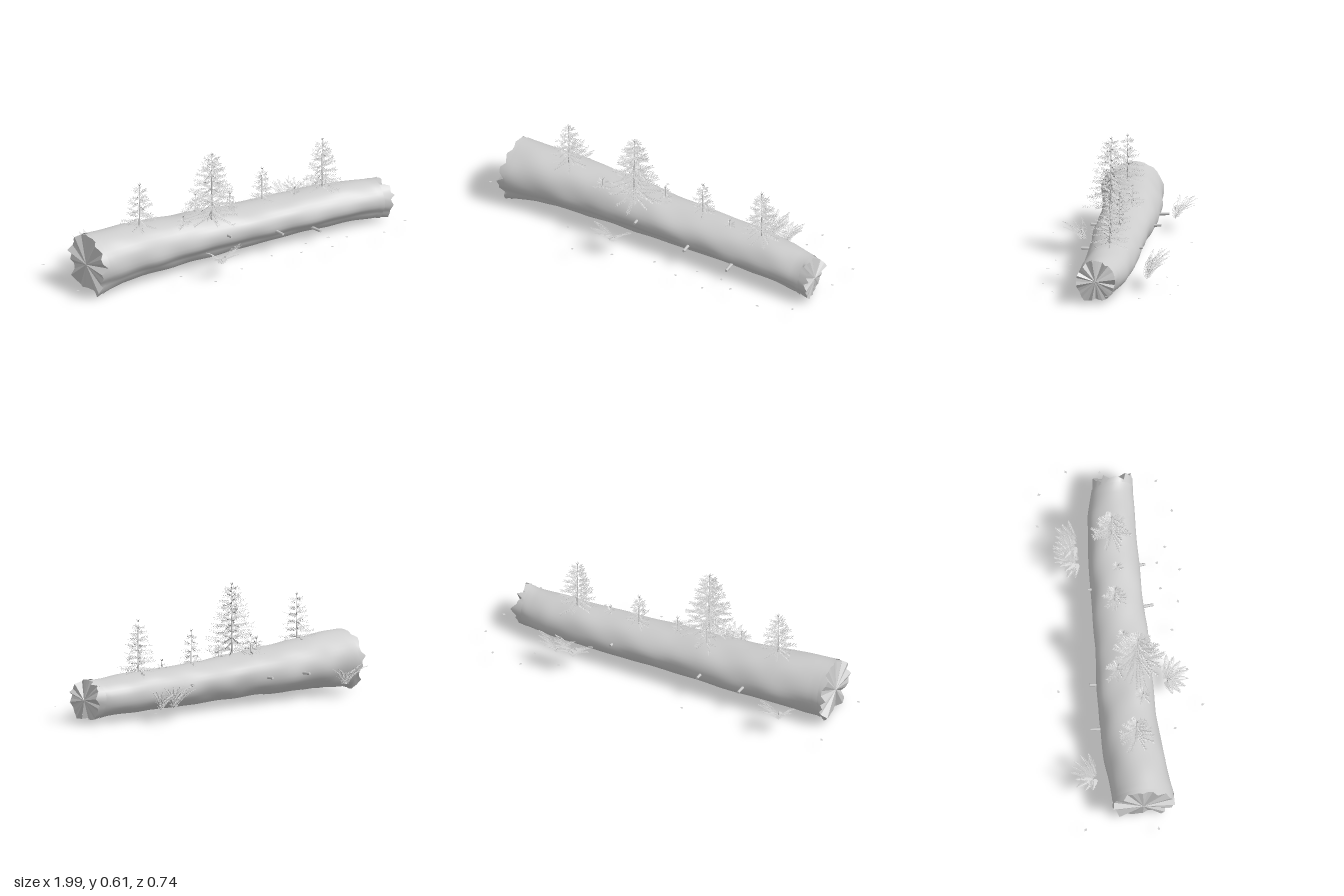
import * as THREE from 'three';

const paleGrey = new THREE.MeshStandardMaterial({ color: 0xcccccc, side: THREE.DoubleSide });
paleGrey.name = 'pale grey';

let seed = 7;
const rnd = () => ((seed = (seed * 16807) % 2147483647) / 2147483647);
const vary = (r) => (rnd() * 2 - 1) * r;
const V = (x, y, z) => new THREE.Vector3(x, y, z);
const UP = V(0, 1, 0);

function makeMesh(name, positions, index) {
  const geo = new THREE.BufferGeometry();
  geo.setAttribute('position', new THREE.Float32BufferAttribute(positions, 3));
  if (index) geo.setIndex(index);
  geo.computeVertexNormals();
  const mesh = new THREE.Mesh(geo, paleGrey);
  mesh.name = name;
  return mesh;
}

// Log stations: x, bottom, top, back z, front z
const STATIONS = [
  [-0.885, 0.004, 0.306, -0.174, 0.14], [-0.84, 0.024, 0.302, -0.167, 0.138],
  [-0.6, 0.034, 0.291, -0.18, 0.116], [-0.4, 0.034, 0.272, -0.177, 0.107],
  [-0.2, 0.04, 0.261, -0.167, 0.11], [0, 0.042, 0.247, -0.148, 0.117],
  [0.25, 0.04, 0.237, -0.138, 0.117], [0.5, 0.037, 0.231, -0.123, 0.123],
  [0.7, 0.036, 0.222, -0.1, 0.133], [0.82, 0.028, 0.212, -0.067, 0.14],
  [0.87, 0.014, 0.22, -0.05, 0.152],
];
const X0 = -0.885, X1 = 0.87, ROWS = 64, SIDES = 36;
const bump = (a, centre, width) => Math.exp(-(((a - centre) / width) ** 2));

function logPoint(u, j, offset) {
  const x = THREE.MathUtils.lerp(X0, X1, u);
  let k = 0;
  while (k < STATIONS.length - 2 && STATIONS[k + 1][0] < x) k++;
  const A = STATIONS[k], B = STATIONS[k + 1], t = (x - A[0]) / (B[0] - A[0]);
  const [, y0, y1, z0, z1] = A.map((v, i) => v + (B[i] - v) * t);
  const a = (j / SIDES) * Math.PI * 2;
  // long grooves and buttress lobes along the underside, swelling at the root end
  const swell = 1 + Math.max(0, (-0.72 - x) / 0.165);
  const lobes = -0.09 * bump(a, 4.72, 0.25) - 0.07 * bump(a, 5.7, 0.2)
    + 0.075 * swell * bump(a, 5.22, 0.24) + 0.06 * swell * bump(a, 4.2, 0.24);
  const f = 1 + lobes + 0.014 * Math.sin(3 * a + 5 * x) + 0.012 * Math.sin(5 * a - 7 * x)
    + 0.012 * Math.sin(2 * a + 19 * x) + 0.014 * Math.sin(4 * a) * Math.sin(27 * x);
  return V(x, (y0 + y1) / 2 + ((y1 - y0) / 2 * f + offset) * Math.sin(a),
    (z0 + z1) / 2 + ((z1 - z0) / 2 * f + offset) * Math.cos(a));
}

// Lofted skin; keep(i, j) chooses which quads exist
function skin(name, offset, keep, endShift) {
  const pos = [], index = [];
  for (let i = 0; i <= ROWS; i++) for (let j = 0; j < SIDES; j++) {
    const p = logPoint(i / ROWS, j, offset);
    if (i === 0) p.x += endShift[0][j];
    if (i === ROWS) p.x += endShift[1][j];
    pos.push(p.x, p.y, p.z);
  }
  for (let i = 0; i < ROWS; i++) for (let j = 0; j < SIDES; j++) {
    if (!keep(i, j)) continue;
    const a = i * SIDES + j, b = i * SIDES + (j + 1) % SIDES;
    index.push(a, a + SIDES, b, b, a + SIDES, b + SIDES);
  }
  return makeMesh(name, pos, index);
}

// Jagged broken end made of flat wedges
function brokenEnd(name, u, shift, side) {
  const rim = shift.map((s, j) => logPoint(u, j, 0).add(V(s, 0, 0)));
  const c = rim.reduce((s, p) => s.add(p), V(0, 0, 0)).divideScalar(SIDES);
  c.x += side * 0.012;
  const pos = [];
  rim.forEach((p, j) => {
    const q = rim[(j + 1) % SIDES];
    for (const v of side > 0 ? [c, q, p] : [c, p, q]) pos.push(v.x, v.y, v.z);
  });
  return makeMesh(name, pos);
}

// Leaf-shaped flat blade
function blade(out, p, dir, len, width) {
  const d = dir.clone().normalize();
  const side = d.clone().cross(Math.abs(d.y) > 0.95 ? V(1, 0, 0) : UP).normalize().multiplyScalar(width / 2);
  const tip = p.clone().addScaledVector(d, len), mid = p.clone().addScaledVector(d, len * 0.45);
  const l = mid.clone().add(side), r = mid.clone().sub(side);
  for (const v of [p, r, l, l, r, tip]) out.push(v.x, v.y, v.z);
}

// Thin tapered rod between two points
function rod(name, a, b, r0, r1, sides = 5) {
  const mesh = new THREE.Mesh(new THREE.CylinderGeometry(r1, r0, a.distanceTo(b), sides), paleGrey);
  mesh.position.copy(a).lerp(b, 0.5);
  mesh.quaternion.setFromUnitVectors(UP, b.clone().sub(a).normalize());
  mesh.name = name;
  return mesh;
}

// Conifer sapling: loose whorls of twigs carrying sprays of needles
function sapling(x, y, z, height, radius, levels, perLevel) {
  const g = new THREE.Group(), out = [];
  g.name = 'sapling';
  g.add(rod('saplingTrunk', V(x, y - 0.02, z), V(x, y + height * 0.97, z), 0.004 * height / 0.3 + 0.001, 0.0008));
  for (let l = 0; l < levels; l++) {
    for (let k = 0; k < perLevel; k++) {
      const t = Math.max(0, l + vary(0.3)) / levels, reach = radius * (1 - 0.85 * t ** 1.25);
      const base = V(x, y + height * (0.05 + 0.91 * t), z);
      const a = (k / perLevel) * Math.PI * 2 + l * 0.9 + vary(0.2);
      const len = reach * (0.88 + vary(0.14));
      const dir = V(Math.cos(a), -0.1 + 0.3 * t + vary(0.1), Math.sin(a)).normalize();
      const side = V(-Math.sin(a), 0, Math.cos(a));
      blade(out, base, dir, len, 0.004);
      const n = Math.max(2, Math.round(len / 0.013));
      for (let i = 1; i <= n; i++) {
        const p = base.clone().addScaledVector(dir, (len * i) / n);
        for (const [s, rise] of [[-0.75, 0.15], [0.75, 0.15], [-0.2, 0.65], [0.2, -0.55]]) {
          const d = dir.clone().addScaledVector(side, s).add(V(0, rise + vary(0.2), 0));
          blade(out, p, d, 0.02 + vary(0.003), 0.005);
        }
      }
    }
  }
  for (let k = 0; k < 6; k++) {
    blade(out, V(x, y + height * 0.94, z), V(Math.cos(k * 1.05) * 0.6, 1, Math.sin(k * 1.05) * 0.6), 0.02, 0.004);
  }
  g.add(makeMesh('saplingNeedles', out));
  return g;
}

// Fern: arching fronds fanned away from the log
function fern(x, z, facing, fronds, length, height) {
  const out = [];
  for (let f = 0; f < fronds; f++) {
    const a = Math.PI * (0.05 + 0.9 * (f / (fronds - 1))) + vary(0.06);
    const dir = V(Math.cos(a), 0, Math.sin(a) * facing), side = V(-dir.z, 0, dir.x);
    const L = length * (0.93 + vary(0.12)), H = height * (0.88 + vary(0.14));
    const curve = new THREE.QuadraticBezierCurve3(V(x, 0.06, z),
      V(x, 0.06 + H * 0.8, z).addScaledVector(dir, L * 0.4), V(x, 0.06 + H, z).addScaledVector(dir, L));
    const n = 24;
    for (let i = 0; i < n; i++) {
      const t = i / n, p = curve.getPoint(t), tan = curve.getTangent(t);
      blade(out, p, tan, L / n * 1.6, 0.003);
      if (i < 2) continue;
      const size = 0.025 * Math.sin(Math.PI * Math.min(1, 0.25 + 0.7 * t));
      for (const s of [-1, 1]) {
        blade(out, p, side.clone().multiplyScalar(s).addScaledVector(tan, 0.2).add(V(0, -0.35, 0)), size, 0.0045);
      }
    }
  }
  return makeMesh('fern', out);
}

export function createModel() {
  const root = new THREE.Group();
  root.name = 'nurseLog';

  // Bark, mossy upper covering with a stepped hem, and broken ends
  const jag = (bulge) => Array.from({ length: SIDES }, (_, j) =>
    vary(0.022) + bulge * Math.cos((j / SIDES) * Math.PI * 2) ** 2);
  const shifts = [jag(0), jag(0.018)];
  root.add(skin('bark', 0, () => true, shifts));
  const hem = Array.from({ length: ROWS }, (_, i) => [Math.sin(i * 0.45) > 0.2 ? 28 : 29, Math.sin(i * 0.6 + 2) > 0 ? 25 : 24]);
  root.add(skin('mossCover', 0.004, (i, j) => i > 0 && i < ROWS - 1 && (j >= hem[i][0] || j < hem[i][1]), shifts));
  root.add(brokenEnd('rightBrokenEnd', 0, shifts[0], -1));
  root.add(brokenEnd('leftBrokenEnd', 1, shifts[1], 1));

  // Branch stubs
  for (const [x, y, z0, z1] of [[-0.11, 0.165, 0.08, 0.145], [0.19, 0.115, 0.09, 0.172], [0.43, 0.068, 0.08, 0.16],
    [-0.45, 0.14, -0.15, -0.232], [-0.21, 0.14, -0.13, -0.208], [0.3, 0.15, -0.11, -0.15]]) {
    root.add(rod('branchStub', V(x, y, z0), V(x + 0.005, y + 0.004, z1), 0.009, 0.007, 7));
  }

  // Saplings and seedlings on top: x, y, z, height, radius, levels, twigs per level
  for (const s of [[-0.57, 0.285, -0.01, 0.24, 0.09, 6, 7], [-0.16, 0.25, 0.045, 0.37, 0.14, 11, 9],
    [0.2, 0.235, -0.025, 0.18, 0.055, 5, 6], [0.555, 0.225, 0, 0.28, 0.098, 8, 7],
    [-0.01, 0.245, -0.01, 0.085, 0.025, 3, 5], [0.375, 0.228, 0.01, 0.04, 0.02, 2, 4],
    [-0.34, 0.262, 0.05, 0.04, 0.035, 2, 5], [-0.19, 0.25, -0.06, 0.1, 0.06, 3, 6]]) {
    root.add(sapling(...s));
  }

  // Ferns beside the log
  root.add(fern(-0.2, 0.19, 1, 9, 0.118, 0.1));
  root.add(fern(-0.68, -0.245, -1, 9, 0.118, 0.115));
  root.add(fern(0.49, -0.19, -1, 11, 0.122, 0.128));
  root.add(fern(0.58, -0.19, -1, 9, 0.115, 0.115));

  // Fallen leaves on the ground
  const litter = [];
  for (const [x, z] of [[-0.95, -0.32], [-0.19, -0.365], [0.71, -0.36], [0.88, -0.33], [0.53, -0.29], [0.68, -0.25],
    [0.985, -0.18], [0.86, 0.02], [0.96, -0.01], [0.52, 0.27], [0.39, 0.33], [0.71, 0.33], [0.88, 0.27], [-0.35, 0.355],
    [-0.15, 0.3], [0.07, 0.25], [0.22, 0.3], [-0.46, 0.2], [0.3, 0.22], [0.44, 0.22], [-0.99, 0.05]]) {
    const a = rnd() * 6.28, d = V(Math.cos(a), 0.05, Math.sin(a));
    blade(litter, V(x, 0.059, z).addScaledVector(d, -0.01), d, 0.02, 0.014);
  }
  root.add(makeMesh('fallenLeaves', litter));
  return root;
}
